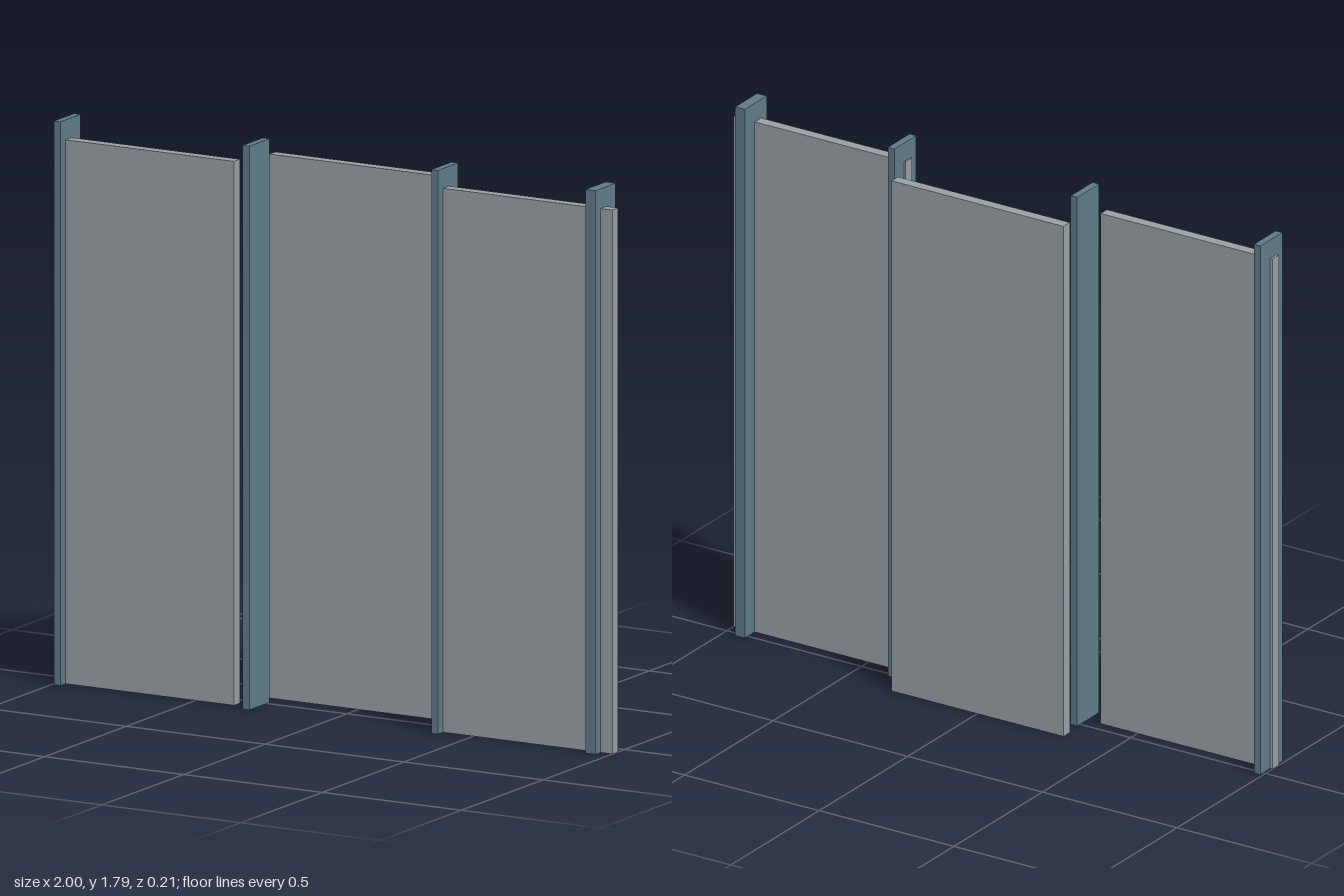
import * as THREE from 'three';

export function createModel() {
  const group = new THREE.Group();
  group.name = 'slidingScreen';

  const panelGrey = new THREE.MeshStandardMaterial({ color: 0x99a2a6 });
  panelGrey.name = 'panel grey';
  const postBlue = new THREE.MeshStandardMaterial({ color: 0x607d8b });
  postBlue.name = 'post slate blue';

  // Box standing on the ground
  function slab(name, material, width, height, depth, x, z) {
    const mesh = new THREE.Mesh(new THREE.BoxGeometry(width, height, depth), material);
    mesh.name = name;
    mesh.position.set(x, height / 2, z);
    group.add(mesh);
  }

  // Three panels, the middle one set back
  const panels = [
    ['rightPanel', -0.681, 0.057],
    ['middlePanel', -0.001, -0.089],
    ['leftPanel', 0.681, 0.057],
  ];
  for (const [name, x, z] of panels) slab(name, panelGrey, 0.638, 1.73, 0.036, x, z);

  // Upright posts, the last one wider
  const posts = [
    ['rightPost', -0.98, 0.024],
    ['innerRightPost', -0.3, 0.024],
    ['innerLeftPost', 0.379, 0.024],
    ['leftPost', 0.94, 0.036],
  ];
  for (const [name, x, width] of posts) slab(name, postBlue, width, 1.793, 0.124, x, 0.045);

  return group;
}
